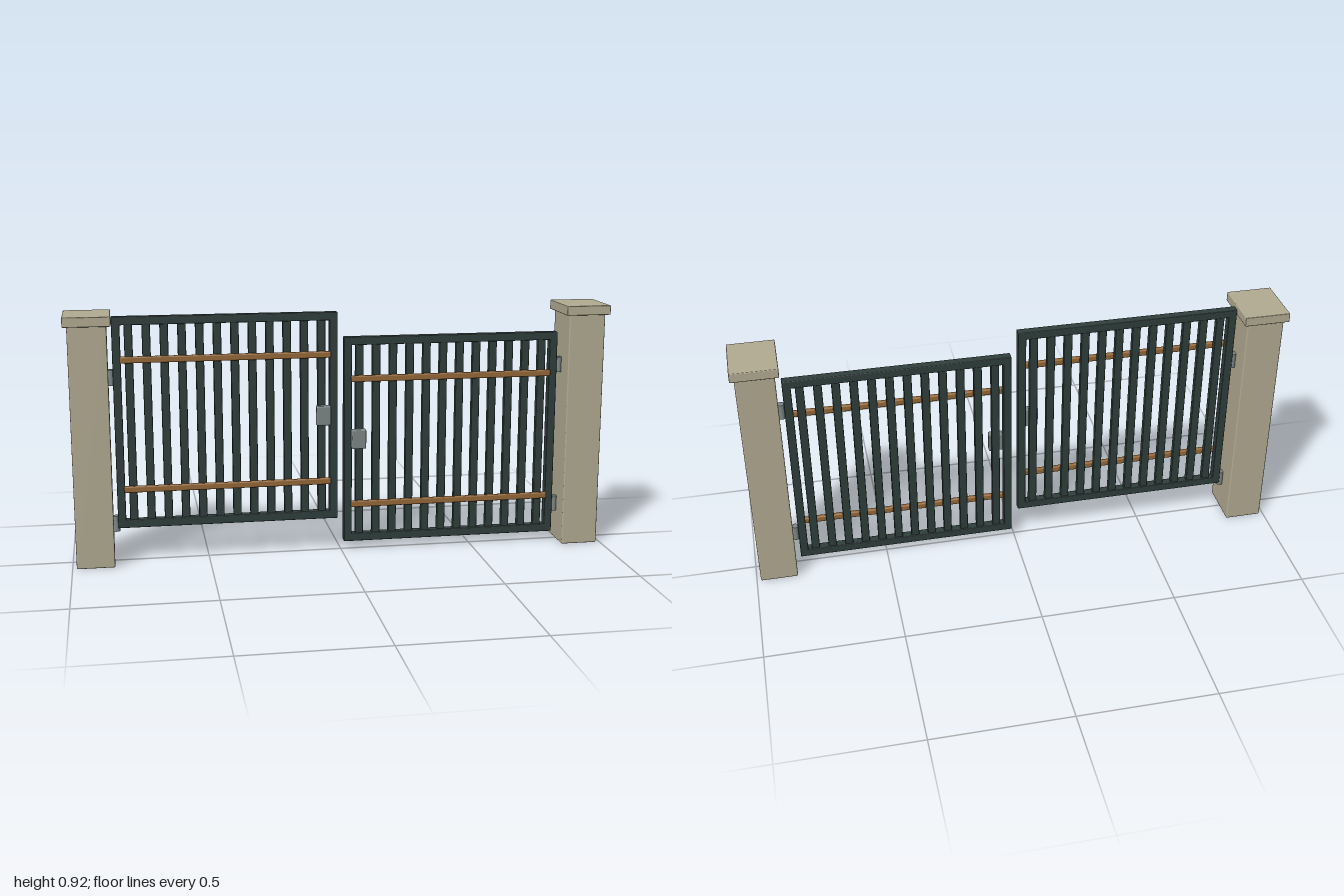
import * as THREE from 'three';
import { RoundedBoxGeometry } from 'three/addons/geometries/RoundedBoxGeometry.js';

function material(name, color) {
  const m = new THREE.MeshStandardMaterial({ color });
  m.name = name;
  return m;
}

const stone = material('sandstone', 0xb2ab92);
const paint = material('dark green paint', 0x2f3e3c);
const bronze = material('bronze', 0x966838);
const steel = material('grey steel', 0x7c8786);

// Box with softened edges, given by its min and max corners
function block(parent, name, mat, [x0, y0, z0], [x1, y1, z1], bevel = 0.003) {
  const geo = new RoundedBoxGeometry(x1 - x0, y1 - y0, z1 - z0, 2, bevel);
  const mesh = new THREE.Mesh(geo, mat);
  mesh.name = name;
  mesh.position.set((x0 + x1) / 2, (y0 + y1) / 2, (z0 + z1) / 2);
  parent.add(mesh);
  return mesh;
}

// Stone gatepost with cap, and two hinge barrels on its inner face
function createPost(side) {
  const post = new THREE.Group();
  post.name = side < 0 ? 'rightPost' : 'leftPost';
  const cx = side * 0.916;
  block(post, 'postShaft', stone, [cx - 0.069, 0, -0.088], [cx + 0.069, 0.89, 0.088], 0.005);
  block(post, 'postCap', stone, [cx - 0.084, 0.885, -0.102], [cx + 0.084, 0.92, 0.102]);
  for (const y of [0.142, 0.687]) {
    const hinge = new THREE.Mesh(new THREE.CylinderGeometry(0.013, 0.013, 0.058, 16), steel);
    hinge.name = 'hingeBarrel';
    hinge.position.set(side * 0.837, y, 0);
    post.add(hinge);
  }
  return post;
}

// Gate leaf running from x0 to x1, with its bottom edge at y = 0
function createLeaf(name, x0, x1, lockX) {
  const leaf = new THREE.Group();
  leaf.name = name;
  const height = 0.781, bar = 0.03, d = 0.016;

  // Outer frame
  for (const x of [x0, x1 - bar]) {
    block(leaf, 'frameStile', paint, [x, 0, -d], [x + bar, height, d]);
  }
  for (const y of [0, height - bar]) {
    block(leaf, 'frameRail', paint, [x0 + 0.004, y, -d], [x1 - 0.004, y + bar, d]);
  }

  // Upright slats
  const count = 12, middle = (x0 + x1) / 2, step = 0.0635;
  for (let i = 0; i < count; i++) {
    const x = middle + (i - (count - 1) / 2) * step;
    block(leaf, 'slat', paint, [x - 0.015, 0.02, -0.011], [x + 0.015, height - 0.02, 0.011]);
  }

  // Bronze cross bars on the front of the slats
  for (const y of [0.147, 0.626]) {
    block(leaf, 'crossBar', bronze, [x0 + 0.026, y - 0.012, 0.009], [x1 - 0.026, y + 0.012, 0.025], 0.005);
  }

  // Lock plate
  block(leaf, 'lockPlate', steel, [lockX - 0.027, 0.363, 0.01], [lockX + 0.027, 0.436, 0.038], 0.005);
  return leaf;
}

export function createModel() {
  const gate = new THREE.Group();
  gate.name = 'doubleGate';
  gate.add(createPost(-1), createPost(1));

  // The two leaves hang at different heights
  const rightLeaf = createLeaf('rightLeaf', -0.831, -0.014, -0.069);
  rightLeaf.position.y = 0.126;
  const leftLeaf = createLeaf('leftLeaf', 0.01, 0.827, 0.064);
  leftLeaf.position.y = 0.032;
  gate.add(rightLeaf, leftLeaf);
  return gate;
}
